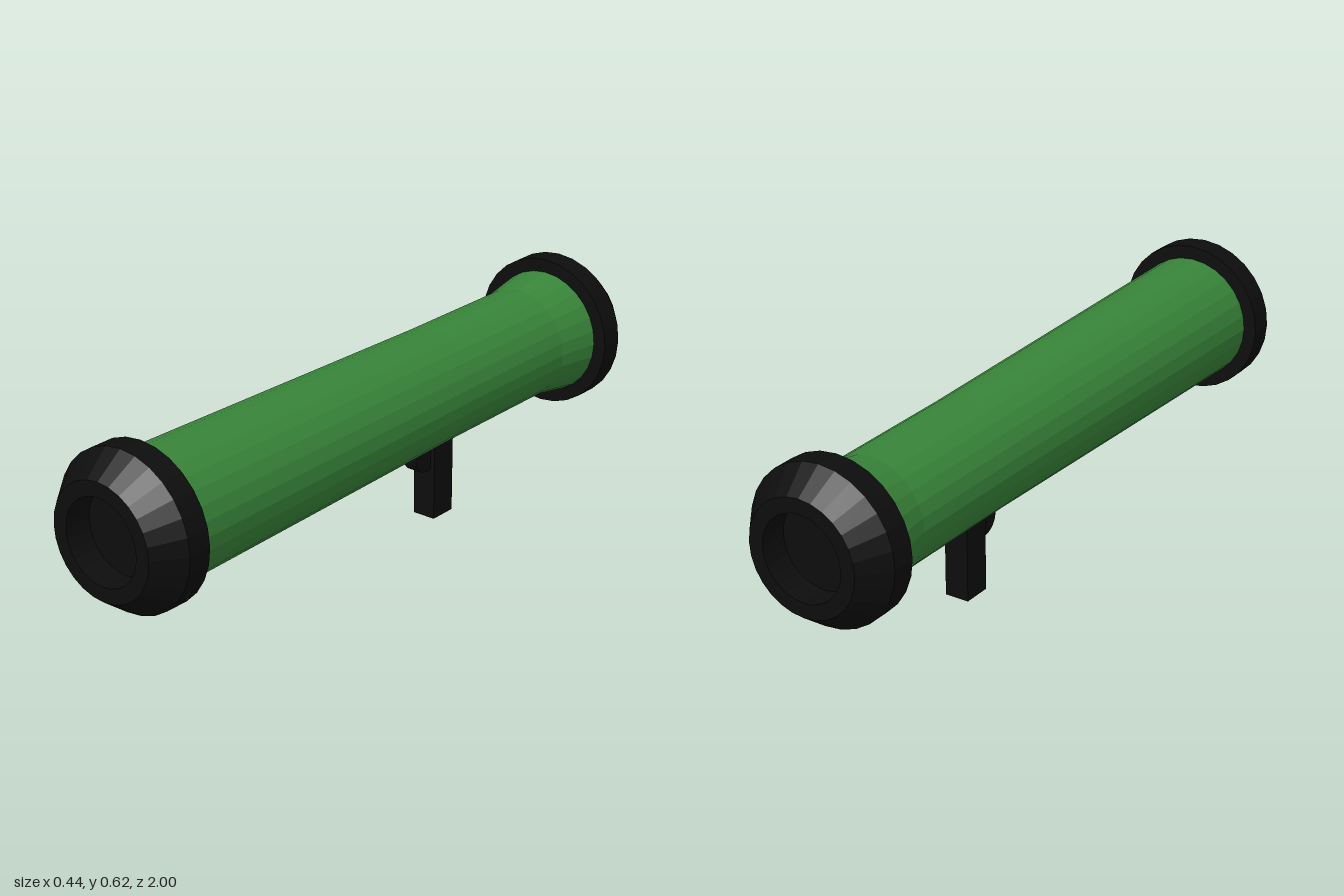
import * as THREE from 'three';

const SIDES = 28;
const AXIS_Y = 0.4;

const green = new THREE.MeshStandardMaterial({ color: 0x38853a, flatShading: true });
green.name = 'green';
const black = new THREE.MeshStandardMaterial({ color: 0x0d0d0d, flatShading: true });
black.name = 'black';

// Revolves [radius, z] pairs around the long axis
function turned(name, profile, material) {
  const points = profile.map(([r, z]) => new THREE.Vector2(r, z));
  const geometry = new THREE.LatheGeometry(points, SIDES).rotateX(Math.PI / 2);
  const mesh = new THREE.Mesh(geometry, material);
  mesh.name = name;
  mesh.position.y = AXIS_Y;
  return mesh;
}

export function createModel() {
  const group = new THREE.Group();
  group.name = 'launcherTube';

  // Tapered tube, flared at the rear
  group.add(turned('barrel', [
    [0.183, -0.86], [0.183, -0.85], [0.163, -0.72], [0.164, -0.3], [0.183, 0.85], [0.183, 0.86],
  ], green));

  // Bevelled end caps with a closed recess
  const capProfile = [
    [0.16, 0.85], [0.222, 0.85], [0.222, 0.92], [0.162, 1], [0.12, 1], [0.12, 0.92], [0, 0.92],
  ];
  const frontCap = turned('frontCap', capProfile, black);
  const rearCap = turned('rearCap', capProfile, black);
  rearCap.rotation.y = Math.PI;
  group.add(frontCap, rearCap);

  // Grip under the barrel
  const grip = new THREE.Mesh(new THREE.BoxGeometry(0.072, 0.26, 0.085), black);
  grip.name = 'grip';
  grip.position.set(0, 0.13, -0.322);
  group.add(grip);

  // Rounded trigger in front of the grip
  const trigger = new THREE.Mesh(new THREE.CylinderGeometry(0.05, 0.05, 0.044, 20).rotateZ(Math.PI / 2), black);
  trigger.name = 'trigger';
  trigger.position.set(0, 0.2, -0.262);
  group.add(trigger);

  return group;
}
